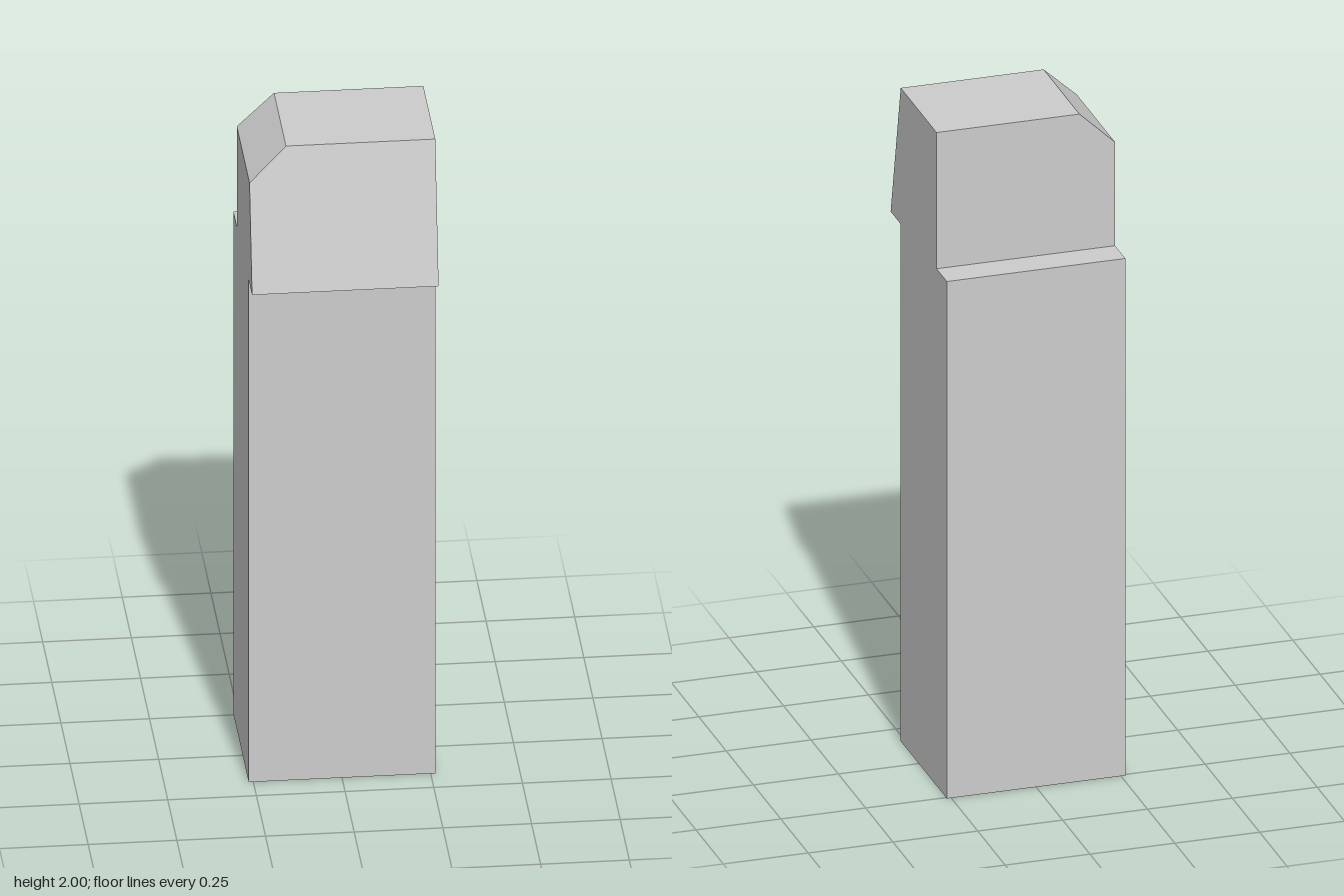
import * as THREE from 'three';

const HALF_W = 0.263;
const SHOULDER = 1.583; // height where the head meets the shaft
const TOP = 2;

// Straight square shaft, set back under the head
function makeShaft(material) {
  const back = -0.257, front = 0.165;
  const geometry = new THREE.BoxGeometry(2 * HALF_W, SHOULDER, front - back);
  geometry.translate(0, SHOULDER / 2, (front + back) / 2);
  const shaft = new THREE.Mesh(geometry, material);
  shaft.name = 'shaft';
  return shaft;
}

// Head block: one chamfered top corner and a front that leans back toward the top
function makeHead(material) {
  const back = -0.163, frontBottom = 0.257, frontTop = 0.165;
  const outline = new THREE.Shape([
    new THREE.Vector2(-HALF_W, SHOULDER),
    new THREE.Vector2(HALF_W, SHOULDER),
    new THREE.Vector2(HALF_W, TOP),
    new THREE.Vector2(-0.158, TOP),
    new THREE.Vector2(-HALF_W, 1.9),
  ]);
  const geometry = new THREE.ExtrudeGeometry(outline, { depth: 1, bevelEnabled: false });

  // Slide the front face onto the sloping plane
  const p = geometry.attributes.position;
  for (let i = 0; i < p.count; i++) {
    const t = (p.getY(i) - SHOULDER) / (TOP - SHOULDER);
    const front = THREE.MathUtils.lerp(frontBottom, frontTop, t);
    p.setZ(i, p.getZ(i) > 0.5 ? front : back);
  }
  geometry.computeVertexNormals();
  const head = new THREE.Mesh(geometry, material);
  head.name = 'head';
  return head;
}

export function createModel() {
  const material = new THREE.MeshStandardMaterial({ color: 0xcccccc, flatShading: true });
  const model = new THREE.Group();
  model.name = 'post';
  model.add(makeShaft(material), makeHead(material));
  return model;
}
